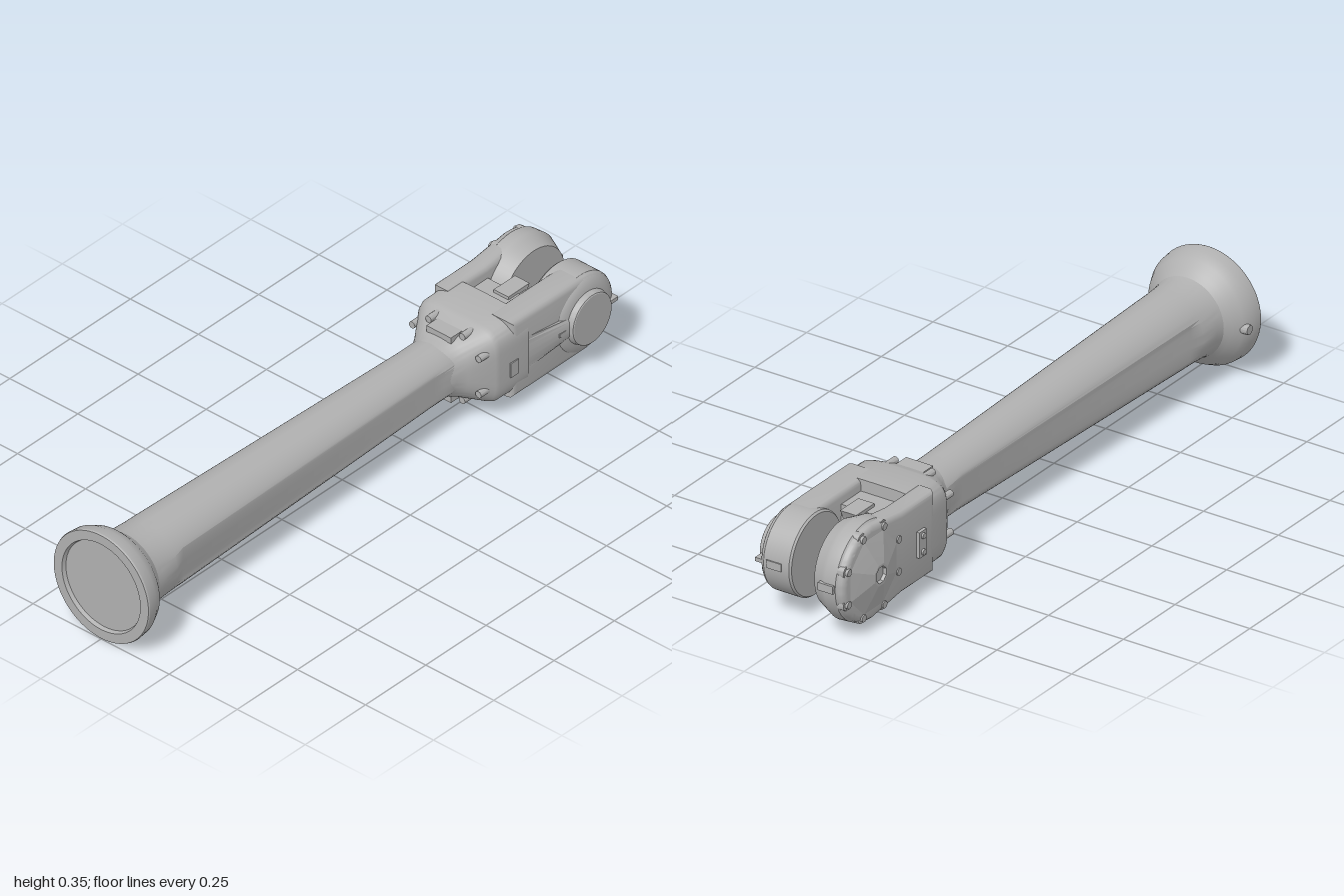
import * as THREE from 'three';
import { toCreasedNormals } from 'three/addons/utils/BufferGeometryUtils.js';

const steel = new THREE.MeshStandardMaterial({ color: 0xb0b0b0 });
steel.name = 'grey metal';

export function createModel() {
  const model = new THREE.Group();
  model.name = 'armLink';
  model.position.y = 0.176; // parts are built around the long axis at y = 0

  function add(name, geo, x = 0, y = 0, z = 0, crease = 0.55) {
    const mesh = new THREE.Mesh(toCreasedNormals(geo, crease), steel);
    mesh.name = name;
    mesh.position.set(x, y, z);
    model.add(mesh);
    return mesh;
  }
  const box = (name, w, h, d, x, y, z) => add(name, new THREE.BoxGeometry(w, h, d), x, y, z);

  // Skin through cross-sections along x; ring(section, angle) gives [y, z]
  function loft(sections, ring, n = 64) {
    const pos = [], idx = [];
    sections.forEach((s, i) => {
      for (let j = 0; j < n; j++) {
        const [y, z] = ring(s, (j / n) * Math.PI * 2);
        pos.push(s[0], y, z);
        if (i === sections.length - 1) continue;
        const a = i * n + j, b = i * n + (j + 1) % n;
        idx.push(a, b, a + n, b, b + n, a + n);
      }
    });
    const geo = new THREE.BufferGeometry();
    geo.setAttribute('position', new THREE.Float32BufferAttribute(pos, 3));
    geo.setIndex(idx);
    return geo;
  }
  // Turned part around the z axis, profile given as [radius, z] with z rising
  const turned = (profile, n = 56) =>
    new THREE.LatheGeometry(profile.map(([r, z]) => new THREE.Vector2(r, z)), n).rotateX(Math.PI / 2);

  // Flanged tube, tapering, with flats on its front and back: [x, radius, flat half width]
  add('flangedTube', loft([
    [-0.988, 0.0005, 1], [-0.988, 0.14, 1], [-1, 0.144, 1], [-1, 0.174, 1], [-0.995, 0.176, 1],
    [-0.965, 0.173, 1], [-0.935, 0.158, 1], [-0.912, 0.135, 1], [-0.895, 0.122, 1], [-0.87, 0.117, 1],
    [-0.81, 0.114, 0.114], [-0.77, 0.1135, 0.098], [0.3, 0.088, 0.074], [0.34, 0.088, 0.076], [0.42, 0.088, 0.088],
  ], ([, r, w], a) => [r * Math.cos(a), Math.max(-w, Math.min(w, r * Math.sin(a)))], 72), 0, 0, 0, 0.45);

  // Fork body, swelling from the tube into a rounded block: [x, half height, half depth, exponent]
  const sgnPow = (v, e) => Math.sign(v) * Math.abs(v) ** e;
  add('forkBody', loft([
    [0.34, 0.086, 0.074, 2], [0.38, 0.089, 0.084, 2.2], [0.41, 0.095, 0.1, 2.8], [0.475, 0.122, 0.144, 4.5],
    [0.49, 0.127, 0.147, 5], [0.605, 0.127, 0.15, 5], [0.605, 0.0005, 0.0005, 2],
  ], ([, h, d, e], a) => [h * sgnPow(Math.cos(a), 2 / e), d * sgnPow(Math.sin(a), 2 / e)]));

  // Fork arms: bevelled plates from the body to the joint
  function arm(name, r, z0, z1) {
    const b = 0.018, s = new THREE.Shape();
    s.moveTo(0.56, -0.127 + b);
    s.lineTo(0.7, -0.127 + b);
    s.lineTo(0.84, -r + b);
    s.absarc(0.84, 0, r - b, -Math.PI / 2, Math.PI / 2);
    s.lineTo(0.7, 0.127 - b);
    s.lineTo(0.56, 0.127 - b);
    add(name, new THREE.ExtrudeGeometry(s, {
      depth: z1 - z0 - 2 * b, bevelThickness: b, bevelSize: b, bevelSegments: 3, curveSegments: 24,
    }), 0, 0, z0 + b);
  }
  arm('frontArm', 0.126, 0.055, 0.146);
  arm('backArm', 0.146, -0.15, -0.085);

  // Web closing the pocket between the arms, and its hollowed tongue
  box('forkWeb', 0.11, 0.18, 0.16, 0.645, 0, -0.012);
  const tongue = new THREE.Shape();
  tongue.moveTo(0.66, -0.1);
  tongue.lineTo(0.748, -0.1);
  tongue.quadraticCurveTo(0.69, 0, 0.748, 0.1);
  tongue.lineTo(0.66, 0.1);
  add('tongue', new THREE.ExtrudeGeometry(tongue, { depth: 0.054, bevelEnabled: false }), 0, 0, -0.028);
  for (const y of [-0.08, 0.08])
    for (const z of [-0.03, 0.028]) box('tongueLug', 0.03, 0.014, 0.014, 0.715, y, z);

  // Front joint hub with its round cap
  add('frontHub', turned([
    [0, 0.04], [0.122, 0.04], [0.127, 0.046], [0.127, 0.13], [0.118, 0.143], [0.1, 0.154],
    [0.084, 0.157], [0.08, 0.175], [0.077, 0.177], [0, 0.177],
  ]), 0.84);
  for (const side of [-1, 1]) box('hubRib', 0.05, 0.012, 0.03, 0.84 + side * 0.096, 0, 0.148);

  // Sloping rise on the front arm leading up to the hub
  add('armRise', loft([
    [0.58, 0.06, 0.144, 0.144], [0.76, 0.035, 0.165, 0.15], [0.8, 0.03, 0.165, 0.15],
  ], ([, h, mid, edge], a) => {
    const c = Math.cos(a), s = Math.sin(a);
    return [h * c, s > 0 ? edge + (mid - edge) * s : 0.12];
  }, 16));

  // Back joint hub, wider, with an eight-sided bolted cover
  add('backHub', turned([
    [0, -0.135], [0.142, -0.135], [0.15, -0.125], [0.152, -0.09], [0.145, -0.075], [0.128, -0.04], [0, -0.04],
  ]), 0.84);
  add('jointCover', turned([
    [0, -0.166], [0.024, -0.166], [0.026, -0.176], [0.034, -0.176],
    [0.1, -0.157], [0.142, -0.143], [0.148, -0.13], [0, -0.13],
  ], 8).rotateZ(Math.PI / 8), 0.84, 0, 0, 0.2);
  for (let i = 0; i < 8; i++) {
    const a = (i + 0.5) * Math.PI / 4, x = 0.84 + 0.131 * Math.cos(a), y = 0.131 * Math.sin(a);
    add('boltSeat', turned([[0, -0.145], [0.018, -0.145], [0.02, -0.125], [0, -0.125]], 16), x, y);
    add('coverBolt', turned([[0, -0.154], [0.011, -0.154], [0.011, -0.14], [0, -0.14]], 12), x, y);
  }

  // Small pads on the rounded arm ends and on the front of the body
  box('frontEndPad', 0.012, 0.024, 0.05, 0.964, 0.002, 0.095);
  box('backEndPad', 0.012, 0.024, 0.05, 0.992, 0.002, -0.097);
  box('bodyPad', 0.032, 0.048, 0.008, 0.545, -0.02, 0.148);

  // Catch plate with two screws on the back of the body
  box('catchPlate', 0.034, 0.08, 0.012, 0.615, -0.005, -0.154);
  for (const y of [-0.03, 0.02])
    add('catchScrew', turned([[0, -0.166], [0.009, -0.166], [0.009, -0.158], [0, -0.158]], 12), 0.615, y);

  // Saddle tabs and collar bolts where the fork clamps the tube
  for (const v of [-1, 1]) {
    box('saddleTab', 0.08, 0.02, 0.09, 0.44, v * 0.1, 0);
    for (const side of [-1, 1]) {
      const bolt = new THREE.CylinderGeometry(0.011, 0.011, 0.05, 12).rotateZ(Math.PI / 2);
      add('collarBolt', bolt, 0.452, v * 0.108, side * 0.062);
      add('collarBolt', bolt.clone(), 0.452, v * 0.06, side * 0.122);
    }
  }

  // Set screw on the back of the flange
  add('flangeScrew', turned([[0, -0.175], [0.014, -0.175], [0.016, -0.15], [0, -0.15]], 14), -0.945, -0.01);

  return model;
}
